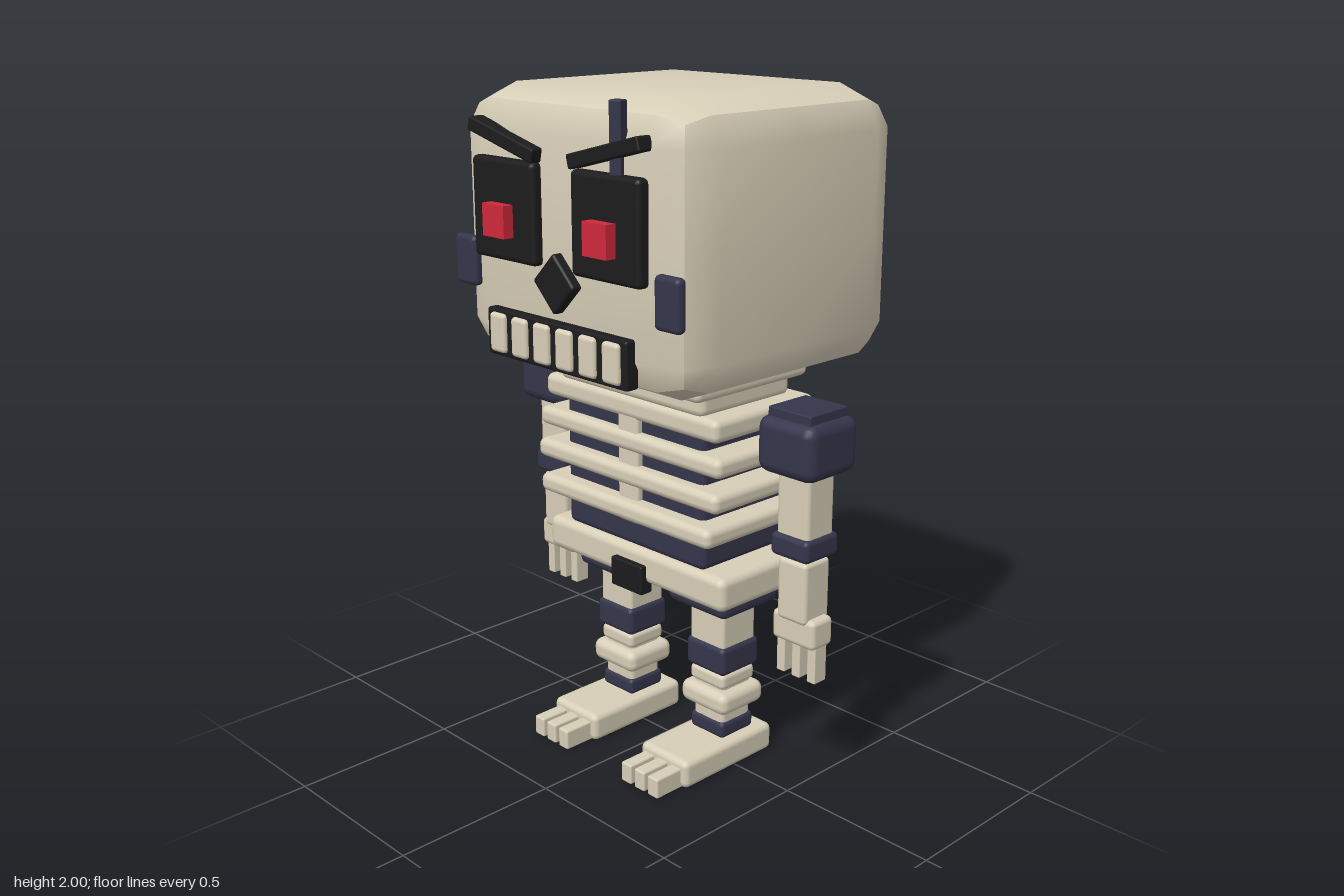
import * as THREE from 'three';
import { RoundedBoxGeometry } from 'three/addons/geometries/RoundedBoxGeometry.js';

const mat = (name, color) => {
  const m = new THREE.MeshStandardMaterial({ color });
  m.name = name;
  return m;
};

export function createModel() {
  const bone = mat('bone', 0xd8cfb8);
  const navy = mat('navy', 0x35354c);
  const black = mat('black', 0x1c1c1e);
  const red = mat('red', 0xd0283c);
  const model = new THREE.Group();
  model.name = 'skeletonRobot';

  const group = (name) => {
    const g = new THREE.Group();
    g.name = name;
    model.add(g);
    return g;
  };

  // Box given by its extents [min, max] per axis; r is the edge rounding (0 = sharp)
  function box(parent, name, material, [x0, x1], [y0, y1], [z0, z1], r = 0.012) {
    const w = x1 - x0, h = y1 - y0, d = z1 - z0;
    const geo = r > 0
      ? new RoundedBoxGeometry(w, h, d, 2, Math.min(r, Math.min(w, h, d) * 0.45))
      : new THREE.BoxGeometry(w, h, d);
    const mesh = new THREE.Mesh(geo, material);
    mesh.name = name;
    mesh.position.set((x0 + x1) / 2, (y0 + y1) / 2, (z0 + z1) / 2);
    parent.add(mesh);
    return mesh;
  }
  const around = (c, w) => [c - w / 2, c + w / 2];

  // Skull: box whose faces bulge outward, leaving crisp edges
  const head = group('head');
  const half = [0.47, 0.395, 0.435];
  const skullGeo = new THREE.BoxGeometry(2, 2, 2, 4, 4, 4);
  const pos = skullGeo.attributes.position;
  for (let i = 0; i < pos.count; i++) {
    const p = [pos.getX(i), pos.getY(i), pos.getZ(i)];
    const extremes = p.filter((v) => Math.abs(v) > 0.99).length;
    const q = p.map((v, a) => {
      const s = Math.abs(v);
      if (s > 0.99) return Math.sign(v) * (half[a] - [0, 0, 0.04, 0.06][extremes]);
      return s > 0.1 ? Math.sign(v) * half[a] * 0.7 : 0;
    });
    pos.setXYZ(i, ...q);
  }
  skullGeo.computeVertexNormals();
  const skull = new THREE.Mesh(skullGeo, bone);
  skull.name = 'skull';
  skull.position.set(0, 1.605, -0.035);
  head.add(skull);

  // Face
  for (const s of [-1, 1]) {
    box(head, 'eyeSocket', black, around(s * 0.207, 0.265), [1.53, 1.81], [0.385, 0.43], 0.015);
    box(head, 'pupil', red, around(s * 0.207, 0.092), [1.6, 1.69], [0.41, 0.463], 0);
    const brow = box(head, 'brow', black, around(s * 0.207, 0.28), [1.842, 1.882], [0.385, 0.435], 0.006);
    brow.rotation.z = s * 0.25;
    box(head, 'sideBolt', navy, around(s * 0.413, 0.094), [1.43, 1.575], [0.376, 0.41], 0.016);
  }
  const nose = box(head, 'nose', black, around(0, 0.12), around(1.495, 0.12), [0.385, 0.43], 0.008);
  nose.rotation.z = Math.PI / 4;
  const scar = box(head, 'scar', navy, around(0.237, 0.036), [1.7, 1.995], [0.386, 0.42], 0.004);
  scar.rotation.y = 0.25;
  box(head, 'mouth', black, [-0.29, 0.29], [1.255, 1.39], [0.385, 0.43], 0.008);
  for (let i = 0; i < 6; i++) {
    box(head, 'tooth', bone, around((i - 2.5) * 0.094, 0.066), [1.267, 1.38], [0.4, 0.443], 0.012);
  }

  // Torso with ribs, breastbone and spine
  const torso = group('torso');
  box(torso, 'jawBase', bone, [-0.335, 0.335], [1.185, 1.3], [-0.235, 0.215], 0.02);
  box(torso, 'collar', bone, [-0.3, 0.3], [1.125, 1.25], [-0.2, 0.165], 0.025);
  box(torso, 'core', navy, [-0.29, 0.29], [0.67, 1.14], [-0.21, 0.145], 0.02);
  const ribs = [
    [1.1, 0.36, 0.068, -0.24, 0.17],
    [1.0, 0.38, 0.058, -0.25, 0.18],
    [0.9, 0.38, 0.058, -0.255, 0.19],
    [0.795, 0.36, 0.058, -0.26, 0.2],
  ];
  for (const [y, x, h, z0, z1] of ribs) {
    box(torso, 'rib', bone, [-x, x], around(y, h), [z0, z1], 0.022);
  }
  box(torso, 'breastbone', bone, [-0.042, 0.042], [0.75, 1.12], [0.12, 0.165], 0.01);
  box(torso, 'spine', bone, [-0.042, 0.042], [0.67, 1.21], [-0.265, -0.2], 0.012);
  box(torso, 'pelvis', bone, [-0.375, 0.375], [0.567, 0.67], [-0.215, 0.155], 0.025);
  box(torso, 'buckle', black, [-0.066, 0.066], [0.537, 0.627], [0.13, 0.175], 0.006);

  // Limb sections: name, material, width, y range, depth, rounding
  const legParts = [
    ['hip', navy, 0.24, [0.505, 0.59], 0.24, 0.025],
    ['thigh', bone, 0.138, [0.35, 0.53], 0.138, 0.012],
    ['knee', navy, 0.156, [0.3, 0.39], 0.156, 0.016],
    ['shin', bone, 0.122, [0.1, 0.32], 0.122, 0.016],
    ['shinBulge', bone, 0.14, [0.25, 0.3], 0.14, 0.016],
    ['shinRing', bone, 0.186, [0.176, 0.246], 0.18, 0.026],
    ['ankle', navy, 0.136, [0.09, 0.142], 0.136, 0.014],
  ];
  const armParts = [
    ['shoulder', navy, 0.206, [0.985, 1.148], 0.205, 0.035],
    ['shoulderPlate', navy, 0.153, [1.13, 1.172], 0.153, 0.004],
    ['upperArm', bone, 0.116, [0.78, 1.0], 0.112, 0.014],
    ['elbow', navy, 0.138, [0.742, 0.81], 0.138, 0.016],
    ['forearm', bone, 0.106, [0.55, 0.735], 0.106, 0.014],
    ['hand', bone, 0.156, [0.478, 0.567], 0.088, 0.016],
  ];
  const zc = -0.033;
  for (const s of [-1, 1]) {
    const side = s > 0 ? 'left' : 'right';

    const leg = group(side + 'Leg');
    const lx = s * 0.199;
    for (const [name, m, w, y, d, r] of legParts) {
      box(leg, name, m, around(lx, w), y, around(zc, d), r);
    }
    box(leg, 'foot', bone, around(lx, 0.196), [0.005, 0.092], [-0.155, 0.217], 0.02);

    const arm = group(side + 'Arm');
    const ax = s * 0.51;
    for (const [name, m, w, y, d, r] of armParts) {
      box(arm, name, m, around(ax, w), y, around(zc, d), r);
    }

    // Three toes and three fingers
    for (const k of [-1, 0, 1]) {
      box(leg, 'toe', bone, around(lx + k * 0.056, 0.042), [0.008, 0.07], [0.19, 0.312], 0.006);
      box(arm, 'finger', bone, around(ax + k * 0.057, 0.03), [0.372, 0.5], around(zc, 0.05), 0.004);
    }
  }
  return model;
}
